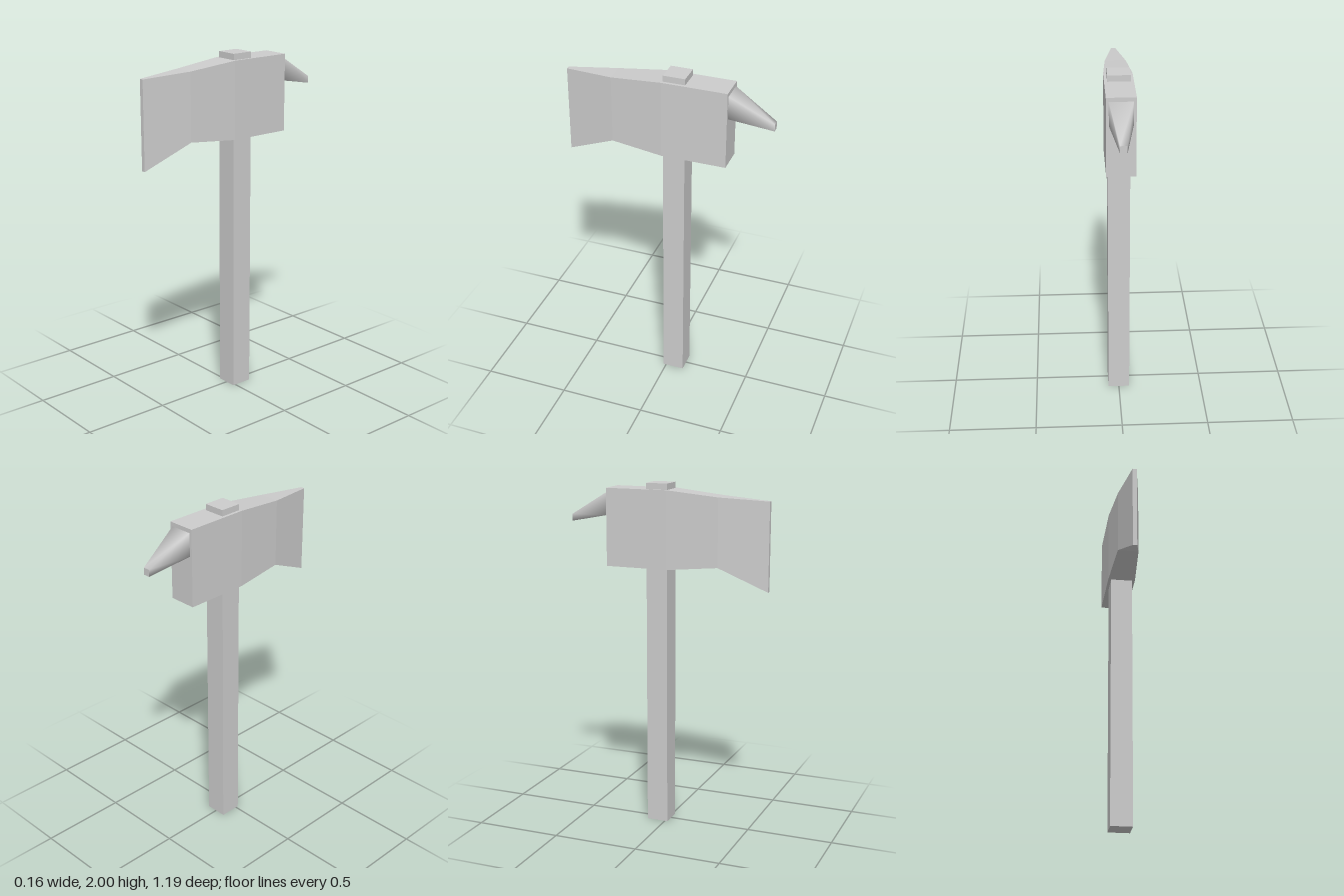
import * as THREE from 'three';
import { mergeVertices } from 'three/addons/utils/BufferGeometryUtils.js';

// Loft of rectangular sections [z, halfWidth, bottom, top], ordered back to front
function loft(sections) {
  const walls = [], caps = [];
  const rings = sections.map(([z, w, b, t]) => [[-w, b, z], [w, b, z], [w, t, z], [-w, t, z]]);
  const quad = (out, a, b, c, d) => out.push(...a, ...b, ...c, ...a, ...c, ...d);
  for (let i = 0; i < rings.length - 1; i++) {
    const r = rings[i], f = rings[i + 1];
    for (let k = 0; k < 4; k++) {
      const n = (k + 1) % 4;
      quad(walls, r[k], r[n], f[n], f[k]);
    }
  }
  const back = rings[0], front = rings[rings.length - 1];
  quad(caps, back[3], back[2], back[1], back[0]);
  quad(caps, ...front);
  return { walls, caps };
}

function geometry(positions, smooth) {
  let g = new THREE.BufferGeometry();
  g.setAttribute('position', new THREE.Float32BufferAttribute(positions, 3));
  if (smooth) g = mergeVertices(g);
  g.computeVertexNormals();
  return g;
}

export function createModel() {
  const model = new THREE.Group();
  model.name = 'axe';
  const grey = new THREE.MeshStandardMaterial({ color: 0xcccccc });
  grey.name = 'plainGrey';

  const add = (name, geo, parent = model) => {
    const mesh = new THREE.Mesh(geo, grey);
    mesh.name = name;
    parent.add(mesh);
    return mesh;
  };

  // Square shaft passing through the head
  add('handle', new THREE.BoxGeometry(0.126, 2, 0.126)).position.set(0, 1, -0.047);

  // Wedge-shaped head flaring down at the cutting edge
  const head = loft([
    [-0.35, 0.08, 1.52, 1.965],
    [0.02, 0.08, 1.52, 1.965],
    [0.315, 0.06, 1.547, 1.936],
    [0.595, 0.012, 1.42, 1.92],
  ]);
  add('axeHead', geometry([...head.walls, ...head.caps], false));

  // Tapered spike drooping from the back, with softened sides and a flat tip
  const spike = new THREE.Group();
  spike.name = 'backSpike';
  model.add(spike);
  const parts = loft([
    [-0.595, 0.019, 1.76, 1.8],
    [-0.35, 0.065, 1.81, 1.942],
  ]);
  add('spikeSides', geometry(parts.walls, true), spike);
  add('spikeEnds', geometry(parts.caps, false), spike);

  return model;
}
